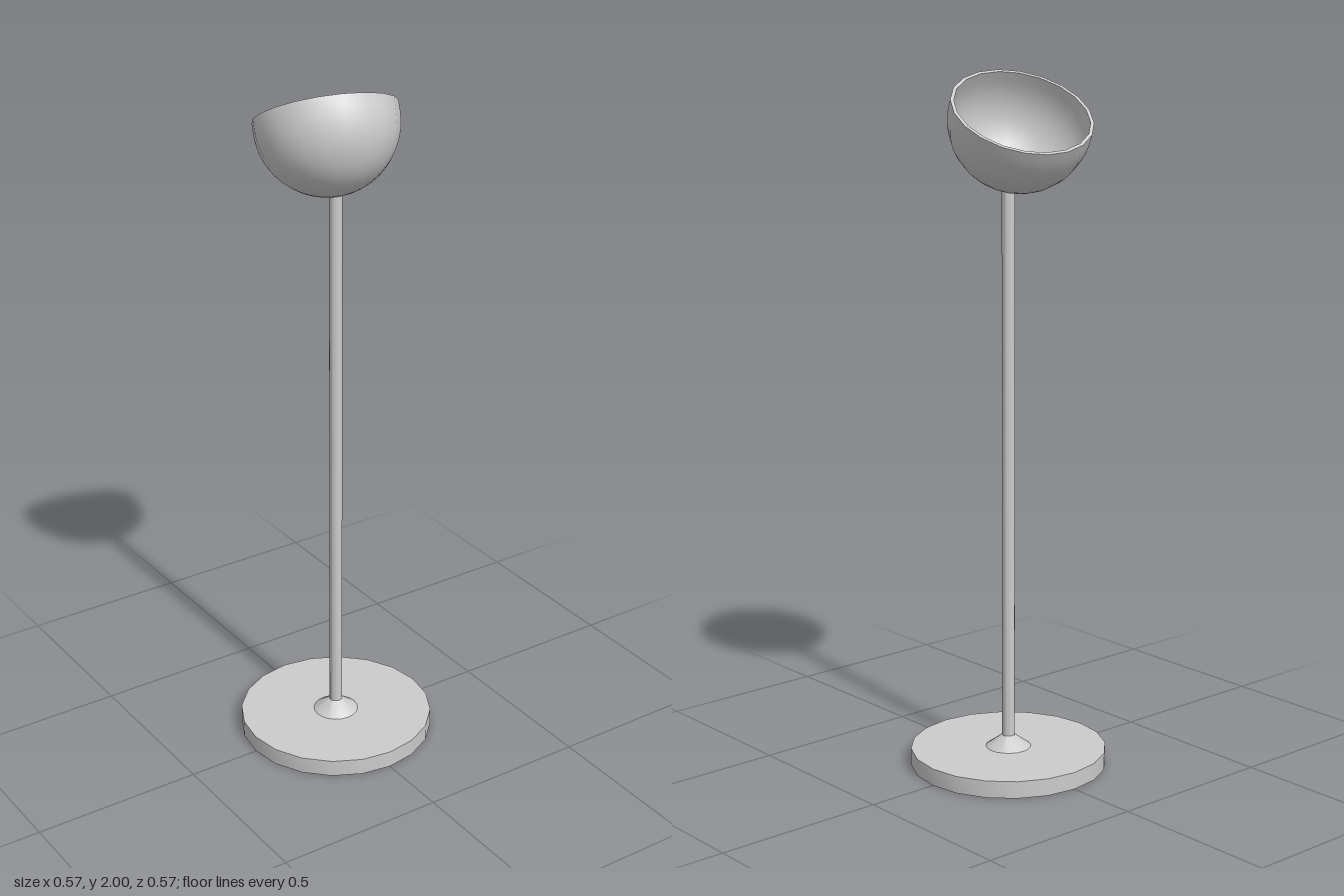
import * as THREE from 'three';
import { toCreasedNormals } from 'three/addons/utils/BufferGeometryUtils.js';

const SIDES = 20;

export function createModel() {
  const model = new THREE.Group();
  const material = new THREE.MeshStandardMaterial({ color: 0xcccccc, side: THREE.DoubleSide });

  function addLathe(name, profile) {
    const points = profile.map(([r, y]) => new THREE.Vector2(r, y));
    const geometry = toCreasedNormals(new THREE.LatheGeometry(points, SIDES), Math.PI / 6);
    const mesh = new THREE.Mesh(geometry, material);
    mesh.name = name;
    model.add(mesh);
    return mesh;
  }

  // Hollow base, open underneath, with a conical collar around the pole
  addLathe('base', [[0.285, 0], [0.285, 0.05], [0.066, 0.05], [0.019, 0.085]]);

  // Slim pole, its capped end just inside the bowl
  addLathe('pole', [[0.0185, 0.08], [0.0185, 1.7], [0, 1.7]]);

  // Thick-walled bowl: hemisphere plus a short straight band, outside then inside
  const radius = 0.2, wall = 0.01, band = 0.03, steps = 12;
  const arc = (r) => Array.from({ length: steps + 1 }, (_, i) => {
    const a = (i / steps) * Math.PI / 2;
    return [r * Math.sin(a), -r * Math.cos(a)];
  });
  const inner = radius - wall;
  const bowl = addLathe('bowl', [
    ...arc(radius), [radius, band],
    [inner, band], ...arc(inner).reverse(),
  ]);

  // Tilt the opening towards the back and slightly to the left
  const axis = new THREE.Vector3(0.15, 0.857, -0.49).normalize();
  bowl.quaternion.setFromUnitVectors(new THREE.Vector3(0, 1, 0), axis);
  bowl.position.set(0.013, 1.871, -0.064);

  return model;
}
